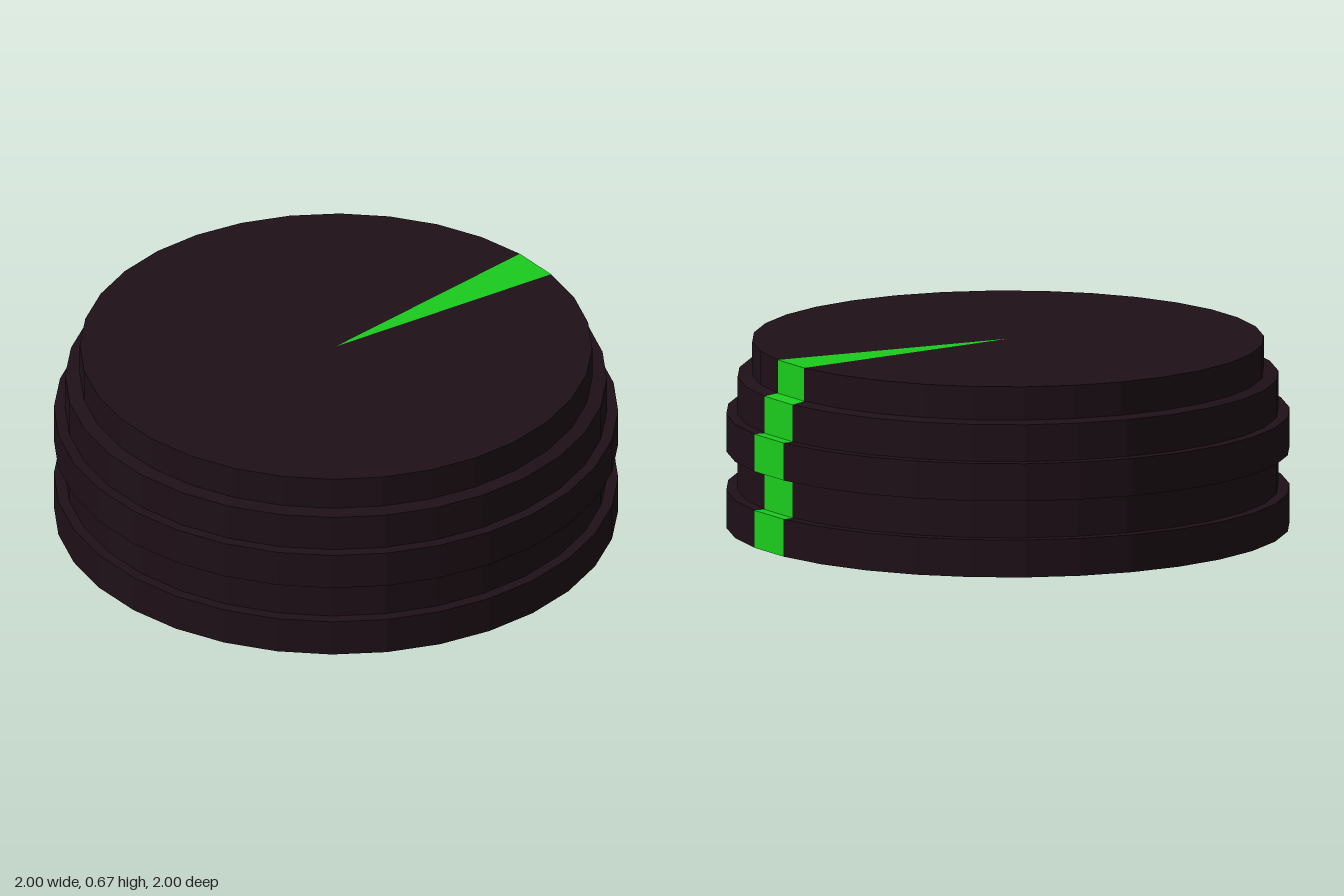
import * as THREE from 'three';

const SIDES = 32;
const STEP = (Math.PI * 2) / SIDES;

// Stepped outline from the bottom rim up to the centre of the top
const PROFILE = [
  [1, 0], [1, 0.135], [0.96, 0.135], [0.96, 0.275], [1, 0.275], [1, 0.41],
  [0.96, 0.41], [0.96, 0.543], [0.908, 0.55], [0.908, 0.67], [0, 0.67],
].map(([r, y]) => new THREE.Vector2(r, y));

function material(color) {
  return new THREE.MeshStandardMaterial({ color, flatShading: true });
}

// Turned slice of the outline covering a number of the 32 sides
function slice(name, firstSide, sides, mat) {
  const geometry = new THREE.LatheGeometry(
    PROFILE, sides, Math.PI / 2 + firstSide * STEP, sides * STEP);
  const mesh = new THREE.Mesh(geometry, mat);
  mesh.name = name;
  return mesh;
}

export function createModel() {
  const group = new THREE.Group();
  group.name = 'steppedDial';
  const dark = material(0x1e1017);
  const green = material(0x1acc1e);

  // Ridged body with a one-side green pointer wedge
  group.add(slice('body', 1, SIDES - 1, dark));
  group.add(slice('pointer', 0, 1, green));

  // Flat underside
  const base = new THREE.Mesh(new THREE.CircleGeometry(1, SIDES), dark);
  base.name = 'underside';
  base.rotation.x = Math.PI / 2;
  group.add(base);

  return group;
}
